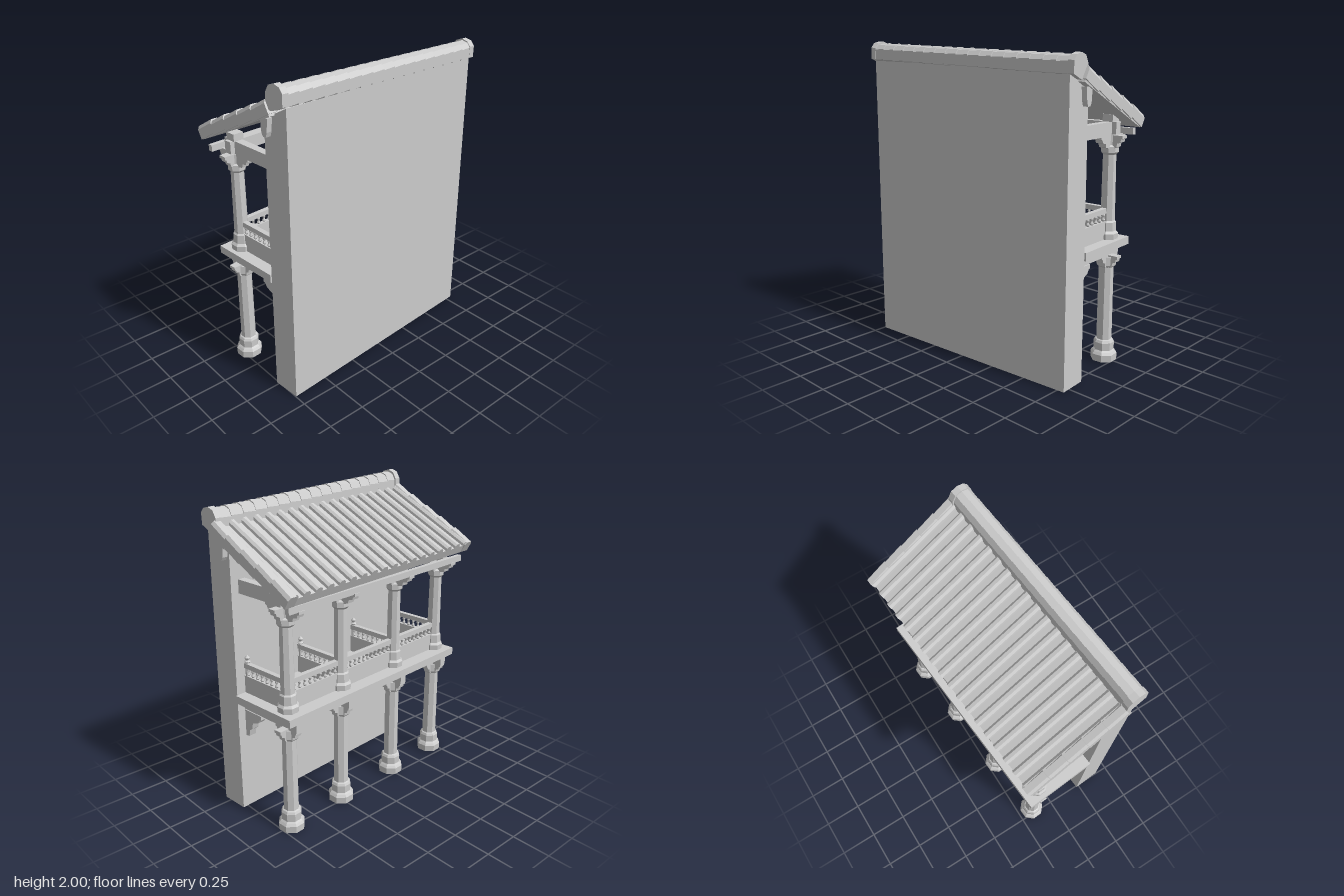
import * as THREE from 'three';

const stone = new THREE.MeshStandardMaterial({ color: 0xcccccc, flatShading: true, side: THREE.DoubleSide });
stone.name = 'pale grey';

function add(parent, name, geometry, x = 0, y = 0, z = 0) {
  const mesh = new THREE.Mesh(geometry, stone);
  mesh.name = name;
  mesh.position.set(x, y, z);
  parent.add(mesh);
  return mesh;
}

// Box given by its limits on each axis
function box(parent, name, x0, x1, y0, y1, z0, z1) {
  return add(parent, name, new THREE.BoxGeometry(x1 - x0, y1 - y0, z1 - z0),
    (x0 + x1) / 2, (y0 + y1) / 2, (z0 + z1) / 2);
}

// Flat outline extruded and centred on its depth
function prism(points, depth) {
  const shape = new THREE.Shape(points.map(([x, y]) => new THREE.Vector2(x, y)));
  return new THREE.ExtrudeGeometry(shape, { depth, bevelEnabled: false }).translate(0, 0, -depth / 2);
}

function lathe(points, sides) {
  return new THREE.LatheGeometry(points.map(([r, y]) => new THREE.Vector2(r, y)), sides, Math.PI / sides);
}

const COLUMN_X = [-0.695, -0.252, 0.252, 0.695];
const COLUMN_Z = -0.2;
const WALL_Z = 0.176;

// Wall with a sloping top and an open underside
function buildWall(parent) {
  const g = new THREE.BoxGeometry(1.548, 1.86, 0.184).translate(0, 0.93, 0.268);
  const p = g.attributes.position;
  for (let i = 0; i < p.count; i++) {
    if (p.getY(i) < 1) continue;
    p.setY(i, (p.getZ(i) > 0.268 ? 1.86 : 1.76) - 0.018 * p.getX(i));
  }
  const index = Array.from(g.index.array);
  index.splice(18, 6);
  g.setIndex(index);
  g.clearGroups();
  add(parent, 'wall', g);
}

// Stepped bracket arms crossing over a column head
function buildCapital(parent, name, x, y, reachX, reachZ, height) {
  const arm = (r) => {
    const half = [[0.045, 0], [0.6 * r, 0.12 * height], [0.64 * r, 0.4 * height],
      [0.86 * r, 0.5 * height], [0.9 * r, 0.72 * height], [r, 0.78 * height], [r, height]];
    return [...half, ...half.map(([a, b]) => [-a, b]).reverse()];
  };
  add(parent, name, prism(arm(reachX), 0.05), x, y, COLUMN_Z);
  add(parent, name, prism(arm(reachZ), 0.05).rotateY(Math.PI / 2), x, y, COLUMN_Z);
}

function buildColumns(parent) {
  const lower = lathe([[0, 0], [0.083, 0], [0.085, 0.045], [0.074, 0.06], [0.064, 0.07], [0.066, 0.12],
    [0.058, 0.135], [0.049, 0.14], [0.047, 0.62], [0.055, 0.635], [0.055, 0.69], [0, 0.69]], 8);
  const upper = lathe([[0, 0.8], [0.066, 0.8], [0.068, 0.84], [0.055, 0.855], [0.053, 0.91], [0.045, 0.92],
    [0.041, 1.33], [0.055, 1.345], [0.055, 1.38], [0.045, 1.39], [0.045, 1.45], [0, 1.45]], 8);
  const bracket = [[0, 0.51], [0.03, 0.515], [0.04, 0.56], [0.06, 0.575], [0.07, 0.615], [0.12, 0.635],
    [0.135, 0.66], [0.15, 0.665], [0.15, 0.69], [0, 0.69]];
  for (const x of COLUMN_X) {
    add(parent, 'lowerColumn', lower, x, 0, COLUMN_Z);
    add(parent, 'upperColumn', upper, x, 0, COLUMN_Z);
    buildCapital(parent, 'lowerCapital', x, 0.62, 0.09, 0.09, 0.08);
    buildCapital(parent, 'upperCapital', x, 1.37, 0.1, 0.14, 0.08);
    // Cross beams and wall brackets
    box(parent, 'floorBeam', x - 0.025, x + 0.025, 0.695, 0.76, -0.295, WALL_Z);
    box(parent, 'tieBeam', x - 0.025, x + 0.025, 1.445, 1.53, -0.27, WALL_Z);
    box(parent, 'postBlock', x - 0.035, x + 0.035, 1.53, 1.575, -0.235, -0.165);
    add(parent, 'wallBracket', prism(bracket, 0.05).rotateY(Math.PI / 2), x, 0, WALL_Z);
  }
}

// One run of balustrade between two points: panel, balusters and handrail
function buildRail(parent, x0, z0, x1, z1) {
  const run = new THREE.Group();
  run.name = 'balustrade';
  const length = Math.hypot(x1 - x0, z1 - z0);
  run.position.set(x0, 0, z0);
  run.rotation.y = Math.atan2(-(z1 - z0), x1 - x0);
  parent.add(run);
  box(run, 'panel', 0, length, 0.8, 0.918, -0.014, 0.014);
  box(run, 'handrail', 0, length, 0.968, 1.0, -0.016, 0.016);
  const baluster = lathe([[0.006, 0.915], [0.012, 0.927], [0.006, 0.942], [0.011, 0.957], [0.007, 0.97]], 6);
  const count = Math.round(length / 0.042);
  for (let i = 0; i < count; i++) add(run, 'baluster', baluster, (i + 0.5) * length / count);
}

function buildBalcony(parent) {
  box(parent, 'floor', -0.785, 0.785, 0.755, 0.805, -0.31, WALL_Z);
  box(parent, 'floorEdgeBeam', -0.72, 0.72, 0.7, 0.755, -0.222, -0.178);
  box(parent, 'eaveBeam', -0.75, 0.75, 1.455, 1.53, -0.225, -0.175);
  box(parent, 'eavePurlin', -0.79, 0.79, 1.445, 1.485, -0.335, -0.305);
  const newel = lathe([[0.014, 0.8], [0.014, 1.005], [0.02, 1.01], [0.01, 1.02], [0.017, 1.035], [0, 1.055]], 8);
  COLUMN_X.forEach((x, i) => {
    buildRail(parent, x, WALL_Z, x, COLUMN_Z + 0.03);
    add(parent, 'newelPost', newel, x, 0, WALL_Z - 0.015);
    if (i < 3) buildRail(parent, x + 0.03, COLUMN_Z, COLUMN_X[i + 1] - 0.03, COLUMN_Z);
  });
}

function buildRoof(parent) {
  const roof = new THREE.Group();
  roof.name = 'roof';
  roof.position.set(0, 1.702, -0.06);
  roof.rotation.set(-0.45, 0, -0.018);
  parent.add(roof);
  // Corrugated tile field
  const rows = 18, pitch = 0.0905, left = -0.81, length = 0.69;
  const outline = [[left, -0.055], [left, 0]];
  const bump = [[-0.027, 0], [-0.024, 0.016], [-0.01, 0.028], [0.01, 0.028], [0.024, 0.016], [0.027, 0]];
  for (let i = 0; i < rows; i++) {
    for (const [a, b] of bump) outline.push([left + (i + 0.5) * pitch, 0].map((v, k) => v + [a, b][k]));
  }
  const right = left + rows * pitch;
  outline.push([right, 0], [right, -0.055]);
  add(roof, 'tileField', prism(outline, length));

  // Overlapping verge tiles at both ends
  const verge = [[-0.034, -0.05], [-0.034, 0.01], [-0.02, 0.03], [0.02, 0.03], [0.034, 0.01], [0.034, -0.05]];
  const step = length / 5;
  for (const x of [left + 0.025, right - 0.025]) {
    for (let i = 0; i < 5; i++) {
      const tile = add(roof, 'vergeTile', prism(verge, step + 0.015), x, 0.004, -length / 2 + (i + 0.5) * step);
      tile.rotation.x = -0.08;
    }
  }
  // Purlin stubs under the verge beside the wall
  for (const s of [-1, 1]) {
    const stub = [[-0.03, 1.78], [0.03, 1.78], [0.022, 1.69], [0.01, 1.67], [-0.012, 1.67], [-0.022, 1.7]];
    add(parent, 'purlinEnd', prism(stub, 0.035).rotateY(Math.PI / 2), s * 0.79, -0.018 * s, 0.215);
  }
}

// Ridge of overlapping tiles, falling gently to one side
function buildRidge(parent) {
  const ridge = new THREE.Group();
  ridge.name = 'ridge';
  ridge.position.set(0, 1.86, 0.3);
  ridge.rotation.z = -0.032;
  parent.add(ridge);
  const profile = [[-0.068, 0], [-0.068, 0.065], [-0.045, 0.092], [-0.005, 0.102], [0.035, 0.088],
    [0.056, 0.05], [0.058, -0.04], [0, -0.03]];
  const count = 17, span = 1.56, step = span / count;
  const tile = prism(profile, step + 0.008).rotateY(Math.PI / 2).rotateZ(0.075);
  for (let i = 0; i < count; i++) add(ridge, 'ridgeTile', tile, -span / 2 + (i + 0.5) * step);
  const cap = prism(profile.map(([a, b]) => [a * 1.08 + 0.004, b * 1.1]), 0.042).rotateY(Math.PI / 2);
  for (const s of [-1, 1]) add(ridge, 'ridgeCap', cap, s * 0.785, 0.001, 0);
}

export function createModel() {
  const model = new THREE.Group();
  model.name = 'balconyWall';
  const body = new THREE.Group();
  body.name = 'building';
  body.rotation.y = 0.072;
  model.add(body);
  buildWall(body);
  buildColumns(body);
  buildBalcony(body);
  buildRoof(body);
  buildRidge(body);
  return model;
}
